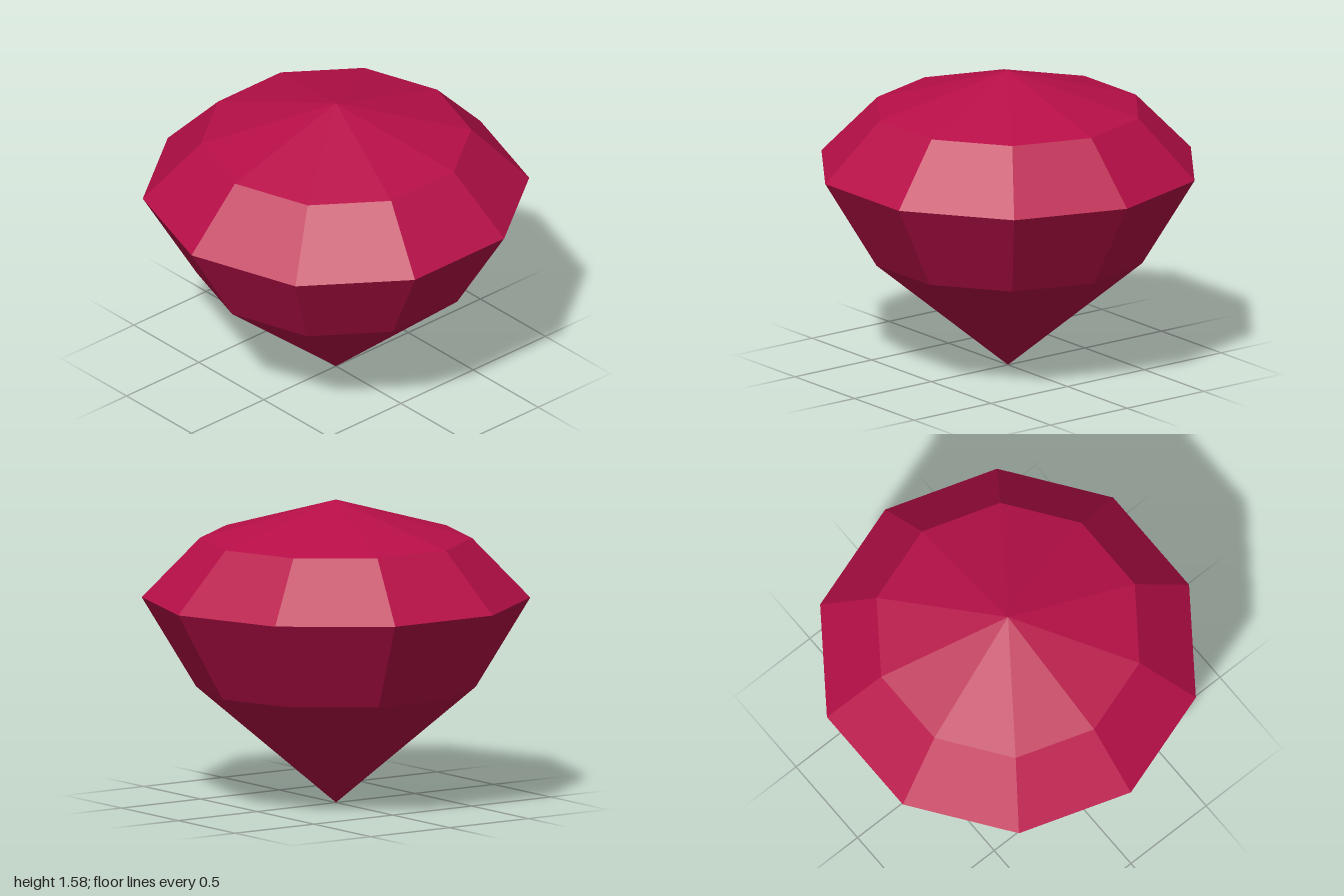
import * as THREE from 'three';

const SIDES = 10;

// Faceted solid of revolution with corners on the x axis; profile runs bottom to top
function facetedPart(name, profile, material) {
  const points = profile.map(([r, y]) => new THREE.Vector2(r, y));
  const geometry = new THREE.LatheGeometry(points, SIDES, Math.PI / 2).toNonIndexed();
  geometry.computeVertexNormals();
  const mesh = new THREE.Mesh(geometry, material);
  mesh.name = name;
  return mesh;
}

export function createModel() {
  const ruby = new THREE.MeshStandardMaterial({ color: 0xb80f48, flatShading: true });
  ruby.name = 'ruby red';

  const gem = new THREE.Group();
  gem.name = 'gem';

  // Lower half: point, steep facets, girdle
  gem.add(facetedPart('pavilion', [[0, 0], [0.72, 0.605], [1, 1.07]], ruby));
  // Upper half: girdle, bevel, shallow peak
  gem.add(facetedPart('crown', [[1, 1.07], [0.7, 1.38], [0, 1.58]], ruby));

  return gem;
}
